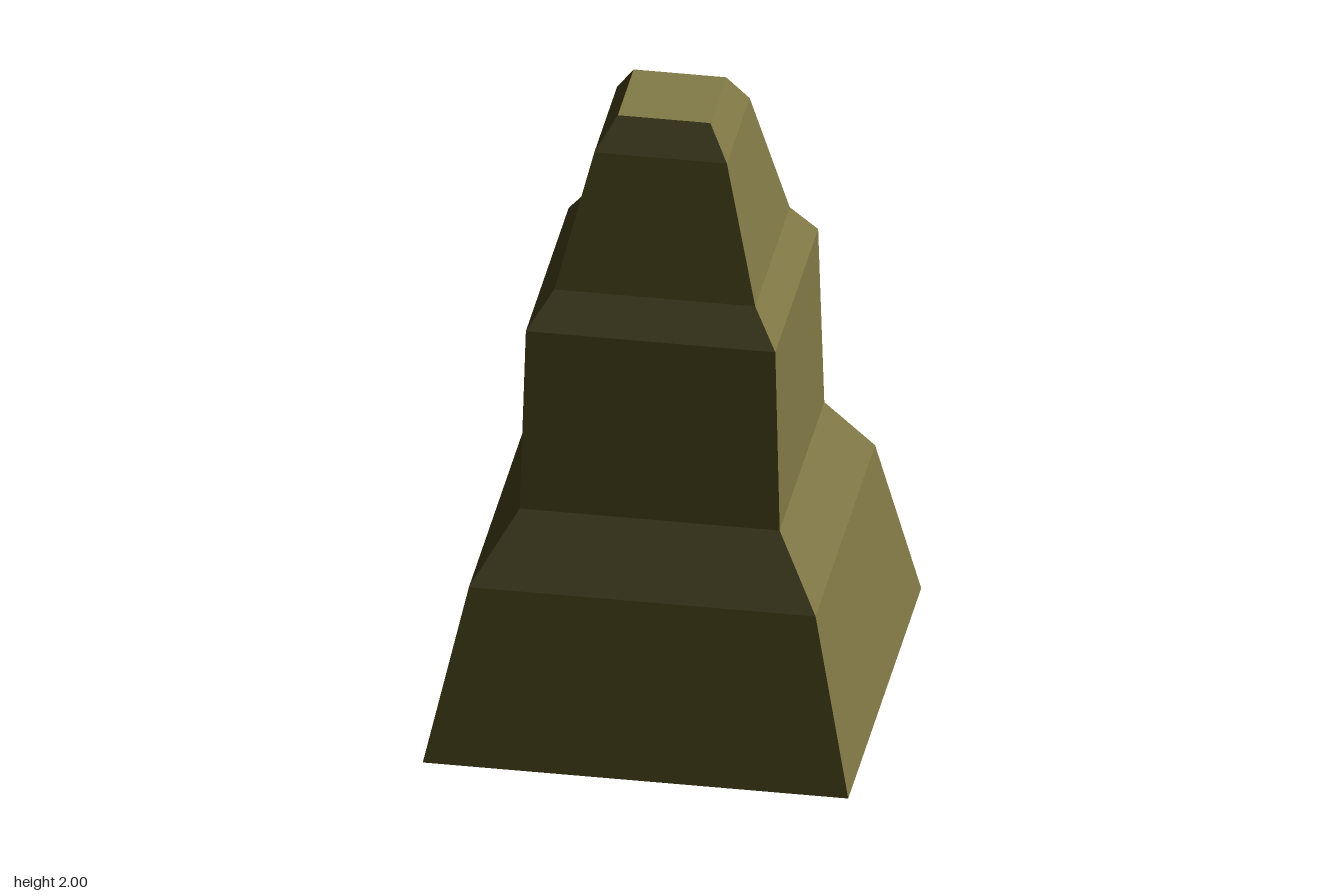
import * as THREE from 'three';

// Half width and height of each ring, from base to top
const PROFILE = [
  [0.648, 0], [0.528, 0.55], [0.396, 0.76], [0.38, 1.365],
  [0.306, 1.475], [0.202, 1.9], [0.141, 2],
];

function material(name, color) {
  const m = new THREE.MeshStandardMaterial({ color });
  m.name = name;
  return m;
}

// One wall facing +z: a mitred strip of flat quads following the profile
function wallGeometry() {
  const points = [];
  for (let i = 0; i < PROFILE.length - 1; i++) {
    const [a, y0] = PROFILE[i];
    const [b, y1] = PROFILE[i + 1];
    points.push(-a, y0, a, a, y0, a, b, y1, b);
    points.push(-a, y0, a, b, y1, b, -b, y1, b);
  }
  const geometry = new THREE.BufferGeometry();
  geometry.setAttribute('position', new THREE.Float32BufferAttribute(points, 3));
  geometry.computeVertexNormals();
  return geometry;
}

export function createModel() {
  const group = new THREE.Group();
  group.name = 'steppedTower';
  const light = material('lightOlive', 0x807845);
  const dark = material('darkOlive', 0x312e10);
  const black = material('black', 0x080808);

  const add = (name, geometry, mat) => {
    const mesh = new THREE.Mesh(geometry, mat);
    mesh.name = name;
    group.add(mesh);
    return mesh;
  };

  // Four walls, two dark and two light
  const wall = wallGeometry();
  [['frontWall', dark], ['leftWall', light], ['backWall', light], ['rightWall', dark]]
    .forEach(([name, mat], i) => {
      add(name, wall, mat).rotation.y = i * Math.PI / 2;
    });

  // Flat cap and underside
  const [topHalf, height] = PROFILE[PROFILE.length - 1];
  const cap = add('topCap', new THREE.PlaneGeometry(topHalf * 2, topHalf * 2), light);
  cap.rotation.x = -Math.PI / 2;
  cap.position.y = height;

  const baseHalf = PROFILE[0][0];
  const base = add('underside', new THREE.PlaneGeometry(baseHalf * 2, baseHalf * 2), black);
  base.rotation.x = Math.PI / 2;

  return group;
}
